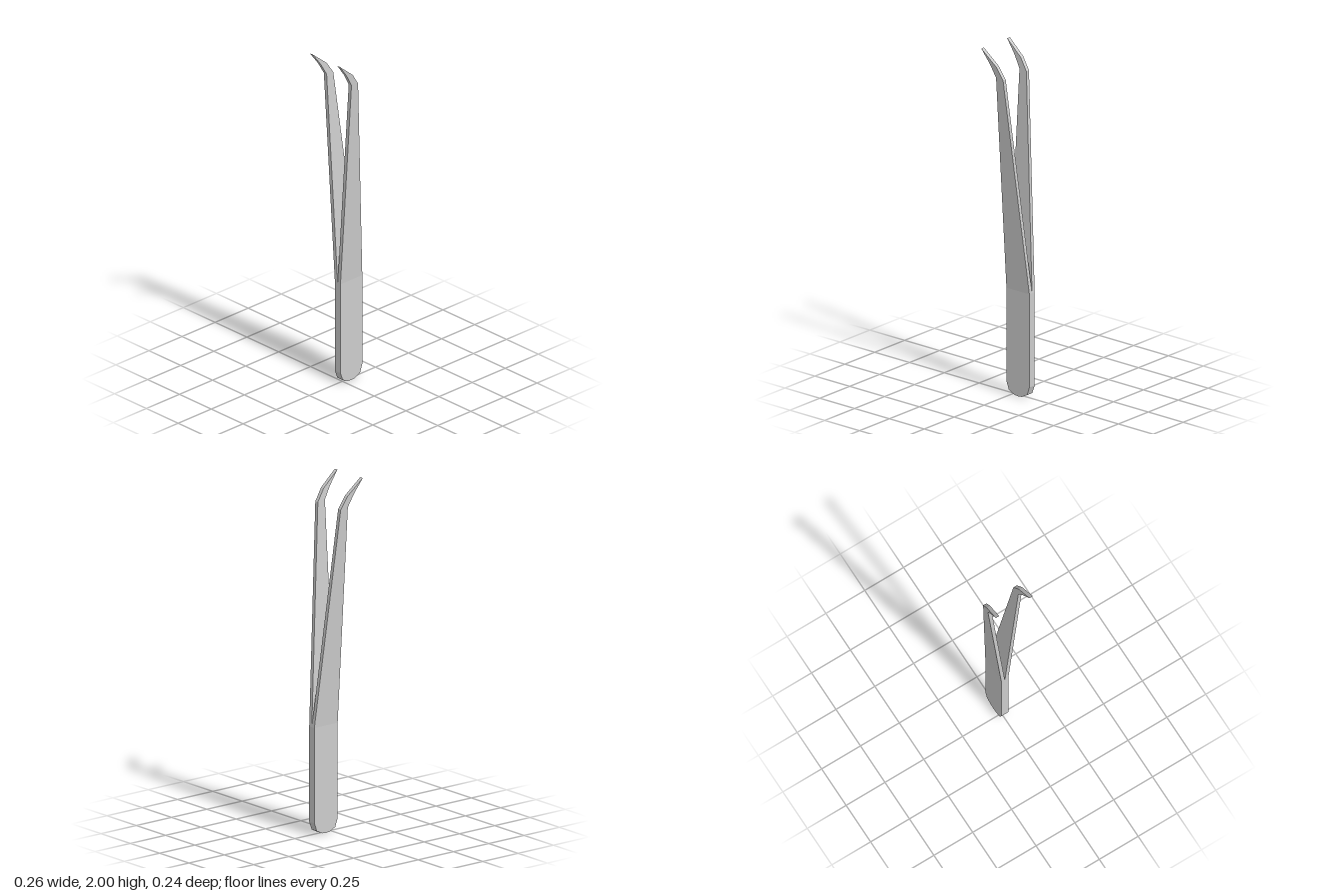
import * as THREE from 'three';

const THICK = 0.022;   // thickness of one blade
const JOINT = 0.61;    // height where the blades part
const SPLAY = 0.07;    // outward z per unit of height above the joint

const outline = (pts) => new THREE.Shape(pts.map(([x, y]) => new THREE.Vector2(x, y)));
const plate = (pts, depth) =>
  new THREE.ExtrudeGeometry(outline(pts), { depth, bevelEnabled: false });

export function createModel() {
  const group = new THREE.Group();
  const material = new THREE.MeshStandardMaterial({ color: 0xcccccc, flatShading: true });
  const add = (name, geometry) => {
    const mesh = new THREE.Mesh(geometry, material);
    mesh.name = name;
    group.add(mesh);
  };

  // Joined handle with a rounded foot
  const handle = plate([
    [-0.035, JOINT], [-0.035, 0.07], [-0.018, 0.022], [0.02, 0.003], [0.048, 0],
    [0.076, 0.003], [0.113, 0.022], [0.13, 0.07], [0.13, JOINT],
  ], 2 * THICK);
  handle.translate(0, 0, -THICK);
  add('handle', handle);

  // Tapering blades with hooked tips, sheared apart above the joint
  const blade = [
    [-0.035, JOINT], [0.13, JOINT], [0.015, 1.845], [-0.03, 1.915],
    [-0.132, 2], [-0.074, 1.92], [-0.035, 1.85],
  ];
  for (const side of [1, -1]) {
    const geometry = plate(blade, THICK);
    if (side < 0) geometry.translate(0, 0, -THICK);
    const p = geometry.attributes.position;
    for (let i = 0; i < p.count; i++) {
      p.setZ(i, p.getZ(i) + side * SPLAY * (p.getY(i) - JOINT));
    }
    geometry.computeVertexNormals();
    add(side > 0 ? 'frontBlade' : 'backBlade', geometry);
  }
  return group;
}
